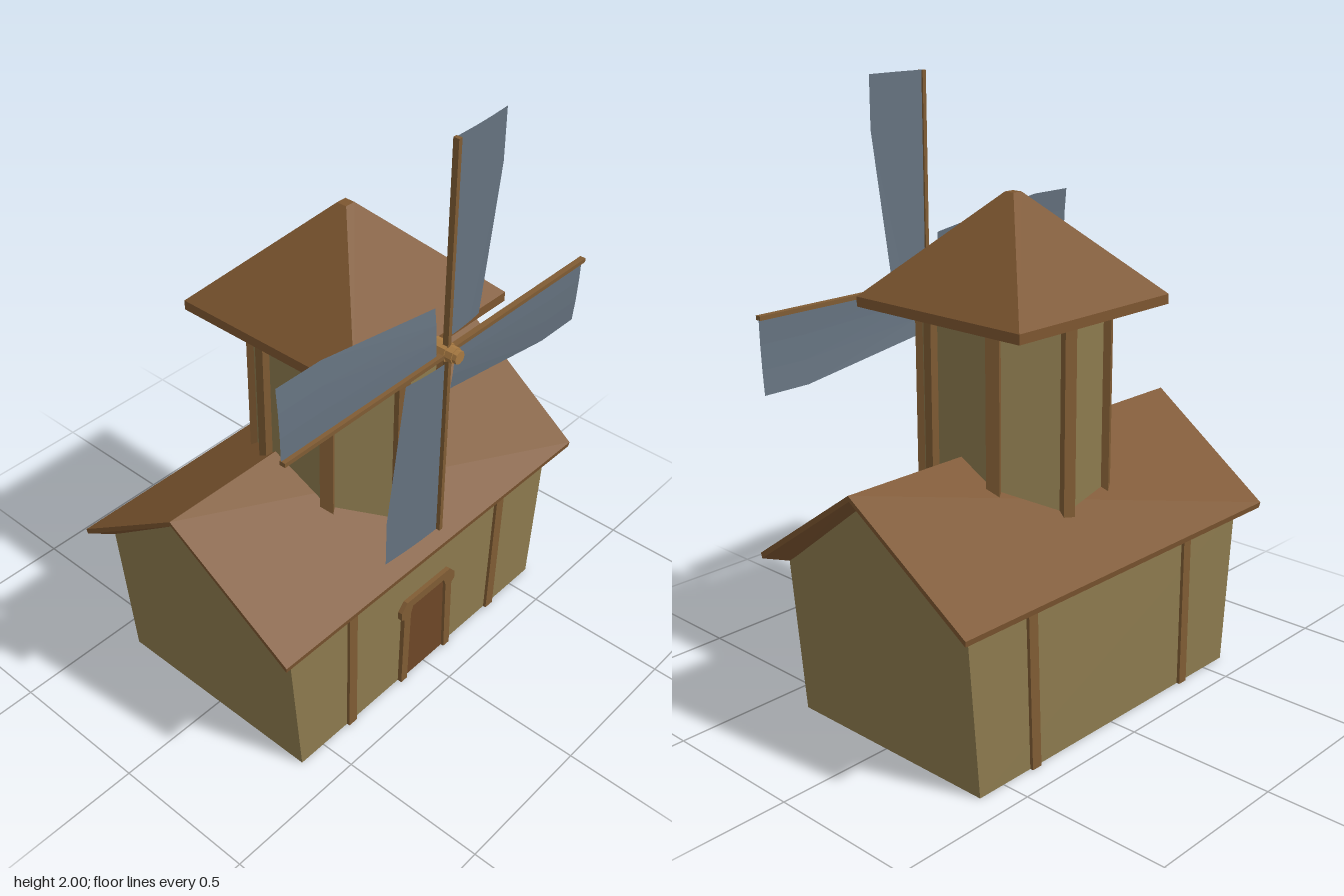
import * as THREE from 'three';

const mat = (color, side = THREE.FrontSide) =>
  new THREE.MeshStandardMaterial({ color, flatShading: true, side });
const WALL = mat(0x8c7a4e), ROOF = mat(0x7d5630), WOOD = mat(0x805c34);
const DOOR = mat(0x6e4727), HUB = mat(0xa87a42), SAIL = mat(0x65727f, THREE.DoubleSide);

function add(parent, name, geometry, material, x = 0, y = 0, z = 0) {
  const mesh = new THREE.Mesh(geometry, material);
  mesh.name = name;
  mesh.position.set(x, y, z);
  parent.add(mesh);
  return mesh;
}

const shapeOf = (pts) => new THREE.Shape(pts.map(([x, y]) => new THREE.Vector2(x, y)));
const extrude = (pts, depth) =>
  new THREE.ExtrudeGeometry(shapeOf(pts), { depth, bevelEnabled: false });

// Gabled house whose end walls lean outward as they rise
function houseGeometry() {
  const g = extrude([[-0.392, 0], [0.392, 0], [0.392, 0.535], [0, 0.835], [-0.392, 0.535]], 1.2);
  g.translate(0, 0, -0.6).rotateY(Math.PI / 2);
  const p = g.attributes.position;
  for (let i = 0; i < p.count; i++) p.setX(i, p.getX(i) * (1 + 0.14 * p.getY(i)));
  g.computeVertexNormals();
  return g;
}

// Saddle roof: top outline, thin edge, then an underside closing in to the walls
function roofGeometry() {
  const ring = (xe, ye, ze, xr, yr) => [
    [xe, ye, ze], [xr, yr, 0], [xe, ye, -ze], [-xe, ye, -ze], [-xr, yr, 0], [-xe, ye, ze],
  ];
  const rings = [
    ring(0.712, 0.565, 0.45, 0.73, 0.877),
    ring(0.71, 0.546, 0.447, 0.727, 0.858),
    ring(0.64, 0.532, 0.39, 0.665, 0.83),
  ];
  const out = [];
  const quad = (a, b, c, d) => out.push(...a, ...b, ...c, ...a, ...c, ...d);
  const t = rings[0];
  quad(t[0], t[1], t[4], t[5]);
  quad(t[1], t[2], t[3], t[4]);
  for (let r = 0; r < 2; r++) {
    for (let i = 0; i < 6; i++) {
      const j = (i + 1) % 6;
      quad(rings[r + 1][i], rings[r + 1][j], rings[r][j], rings[r][i]);
    }
  }
  const g = new THREE.BufferGeometry();
  g.setAttribute('position', new THREE.Float32BufferAttribute(out, 3));
  g.computeVertexNormals();
  return g;
}

// Sail cloth beside an upright spar: widens outward and bends gently back
function sailGeometry() {
  const g = new THREE.PlaneGeometry(1, 1, 3, 2);
  const p = g.attributes.position;
  const heights = [0.045, 0.52, 0.688], widths = [0.165, 0.235, 0.235];
  for (let i = 0; i < p.count; i++) {
    const u = p.getX(i) + 0.5, row = Math.round((p.getY(i) + 0.5) * 2);
    p.setXYZ(i, u * widths[row], heights[row], -0.004 - 0.012 * u * u);
  }
  g.computeVertexNormals();
  return g;
}

function buildHouse() {
  const house = new THREE.Group();
  house.name = 'house';
  add(house, 'houseWalls', houseGeometry(), WALL, 0, 0, -0.013);
  add(house, 'houseRoof', roofGeometry(), ROOF, 0, 0, -0.015);

  // Wall timbers, front and back; the ones on the +x side lean a little
  for (const z of [0.38, -0.406]) {
    add(house, 'wallTimber', new THREE.BoxGeometry(0.036, 0.54, 0.02), WOOD, -0.367, 0.27, z);
    const leaning = new THREE.BoxGeometry(0.038, 0.54, 0.02);
    const p = leaning.attributes.position;
    for (let i = 0; i < p.count; i++) p.setX(i, p.getX(i) + 0.037 * p.getY(i));
    add(house, 'wallTimber', leaning, WOOD, 0.374, 0.27, z);
  }

  // Door and its surround with a wider chamfered head
  const half = [[0.098, 0], [0.128, 0], [0.122, 0.292], [0.137, 0.3], [0.137, 0.33], [0.11, 0.36]];
  const mirror = (pts) => pts.map(([x, y]) => [-x, y]).reverse();
  const inner = [[-0.098, 0], [-0.09, 0.3], [-0.08, 0.328], [0.08, 0.328], [0.09, 0.3]];
  add(house, 'doorFrame', extrude([...half, ...mirror(half), ...inner.slice(1)], 0.03), WOOD, 0, 0, 0.365);
  add(house, 'door', extrude([...inner, [0.098, 0]], 0.02), DOOR, 0, 0, 0.364);
  return house;
}

function buildTower() {
  const tower = new THREE.Group();
  tower.name = 'tower';
  tower.position.z = 0.021;
  const turn = -13.5 * Math.PI / 180;
  const walls = add(tower, 'towerWalls', new THREE.CylinderGeometry(0.298, 0.298, 0.76, 8), WALL, 0, 0.93, 0);
  walls.rotation.y = turn;
  // Corner posts
  for (let i = 0; i < 8; i++) {
    const a = turn + i * Math.PI / 4;
    const post = add(tower, 'towerPost', new THREE.BoxGeometry(0.042, 0.76, 0.03), WOOD,
      0.298 * Math.sin(a), 0.93, 0.298 * Math.cos(a));
    post.rotation.y = a;
  }
  // Cap: square slab and blunt pyramid
  add(tower, 'capEaves', new THREE.BoxGeometry(0.69, 0.032, 0.69), ROOF, 0, 1.316, 0);
  const cap = new THREE.CylinderGeometry(0.018 * Math.SQRT2, 0.345 * Math.SQRT2, 0.325, 4);
  add(tower, 'capRoof', cap.rotateY(Math.PI / 4), ROOF, 0, 1.4945, 0);
  return tower;
}

function buildRotor() {
  const rotor = new THREE.Group();
  rotor.name = 'rotor';
  rotor.position.set(0, 1.313, 0.418);
  // Hub: axle, collar and nose, as [radius, length, z]
  for (const [r, len, z] of [[0.02, 0.14, -0.06], [0.03, 0.06, -0.022], [0.026, 0.03, 0.018], [0.022, 0.03, 0.032]]) {
    add(rotor, 'hub', new THREE.CylinderGeometry(r, r, len, 8).rotateX(Math.PI / 2), HUB, 0, 0, z);
  }
  // Four spars with sails
  for (let i = 0; i < 4; i++) {
    const blade = new THREE.Group();
    blade.name = 'blade';
    blade.rotation.z = i * Math.PI / 2;
    add(blade, 'spar', new THREE.BoxGeometry(0.014, 0.687, 0.02), WOOD, -0.003, 0.3435, 0);
    add(blade, 'sail', sailGeometry(), SAIL);
    rotor.add(blade);
  }
  return rotor;
}

export function createModel() {
  const model = new THREE.Group();
  model.name = 'windmill';
  model.add(buildHouse(), buildTower(), buildRotor());
  return model;
}
